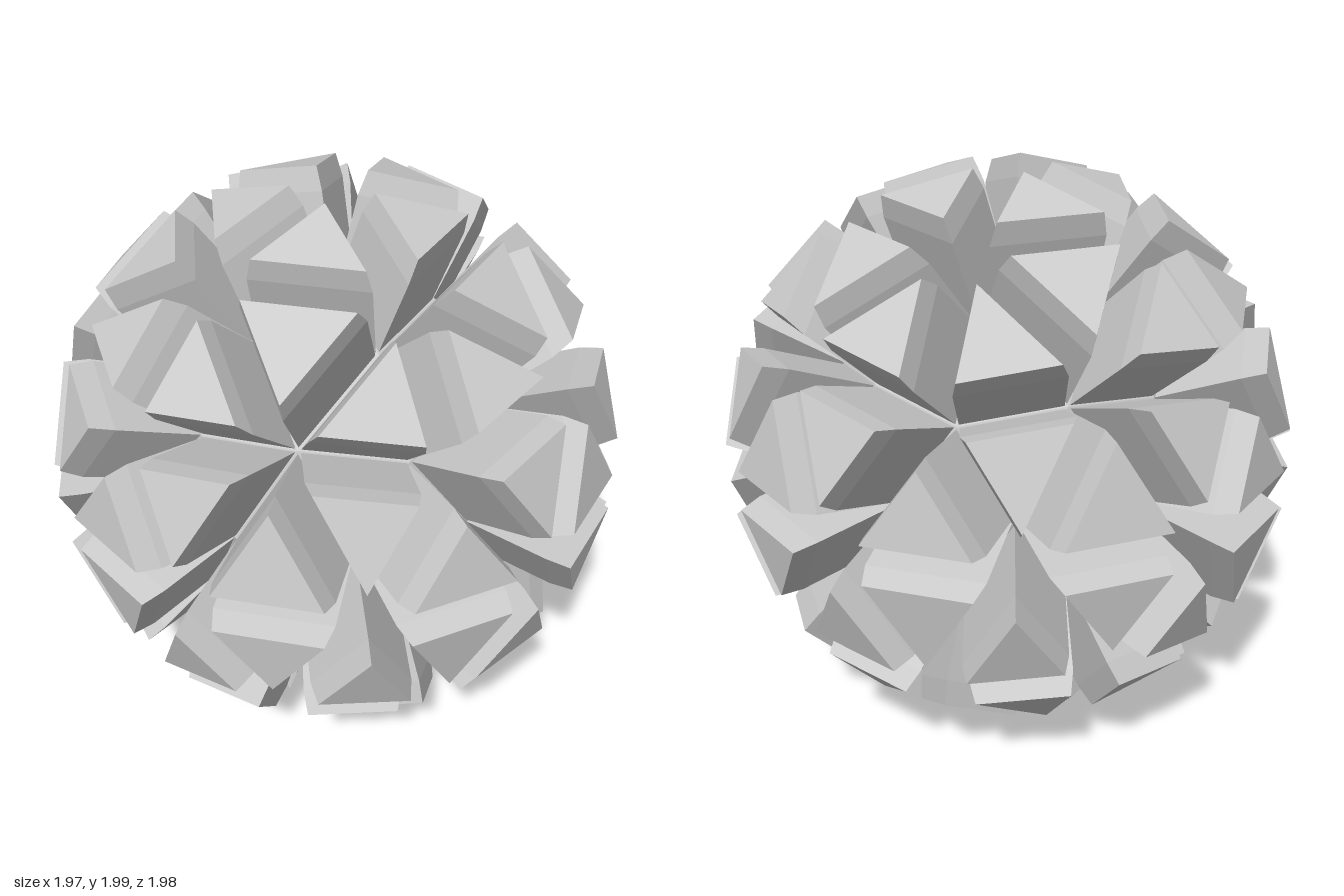
import * as THREE from 'three';

const CORE_RADIUS = 0.65;
// Cross-sections of one block: height above its facet, and scale of the facet triangle
const SECTIONS = [[-0.01, 0.95], [0.29, 0.97], [0.372, 0.88]];

const material = new THREE.MeshStandardMaterial({ color: 0xcccccc, flatShading: true });

// Icosahedron standing on a vertex, as a list of triangles of unit vectors
function icosahedronFaces() {
  const ring = (y, offset) => Array.from({ length: 5 }, (_, k) => {
    const a = (k * 72 + offset) * Math.PI / 180, r = 2 / Math.sqrt(5);
    return new THREE.Vector3(r * Math.cos(a), y, r * Math.sin(a));
  });
  const top = new THREE.Vector3(0, 1, 0), bottom = new THREE.Vector3(0, -1, 0);
  const up = ring(1 / Math.sqrt(5), 0), low = ring(-1 / Math.sqrt(5), 36);
  const faces = [];
  for (let k = 0; k < 5; k++) {
    const n = (k + 1) % 5;
    faces.push([top, up[k], up[n]], [up[k], up[n], low[k]],
      [low[k], low[n], up[n]], [bottom, low[k], low[n]]);
  }
  return faces;
}

// Split a triangle into four on the unit sphere
function subdivide([a, b, c]) {
  const mid = (p, q) => p.clone().add(q).normalize();
  const ab = mid(a, b), bc = mid(b, c), ca = mid(c, a);
  return [[a, ab, ca], [ab, b, bc], [ca, bc, c], [ab, bc, ca]];
}

// Make the corners run counter-clockwise seen from outside
function faceOutward([a, b, c]) {
  const n = b.clone().sub(a).cross(c.clone().sub(a));
  return n.dot(a) > 0 ? [a, b, c] : [a, c, b];
}

function meshFromTriangles(triangles, name) {
  const geometry = new THREE.BufferGeometry().setFromPoints(triangles.flat());
  geometry.computeVertexNormals();
  const mesh = new THREE.Mesh(geometry, material);
  mesh.name = name;
  return mesh;
}

// Triangular prism rising from a facet, with a bevelled outer end
function block(facet) {
  const centre = new THREE.Vector3();
  facet.forEach(p => centre.addScaledVector(p, 1 / 3));
  const normal = new THREE.Triangle(...facet).getNormal(new THREE.Vector3());
  const loops = SECTIONS.map(([height, scale]) => facet.map(p =>
    p.clone().sub(centre).multiplyScalar(scale).add(centre).addScaledVector(normal, height)));
  const triangles = [loops[loops.length - 1]];
  for (let s = 0; s < loops.length - 1; s++) {
    for (let i = 0; i < 3; i++) {
      const j = (i + 1) % 3, lower = loops[s], upper = loops[s + 1];
      triangles.push([lower[i], lower[j], upper[j]], [lower[i], upper[j], upper[i]]);
    }
  }
  return meshFromTriangles(triangles, 'block');
}

export function createModel() {
  const model = new THREE.Group();
  model.name = 'spikyBall';
  const facets = icosahedronFaces().flatMap(subdivide).map(faceOutward)
    .map(f => f.map(p => p.clone().multiplyScalar(CORE_RADIUS)));

  // Faceted core, seen at the bottom of the gaps
  model.add(meshFromTriangles(facets, 'core'));

  // One block on every facet
  const blocks = new THREE.Group();
  blocks.name = 'blocks';
  facets.forEach(f => blocks.add(block(f)));
  model.add(blocks);

  model.position.y = 0.99;
  const root = new THREE.Group();
  root.name = 'model';
  root.add(model);
  return root;
}
